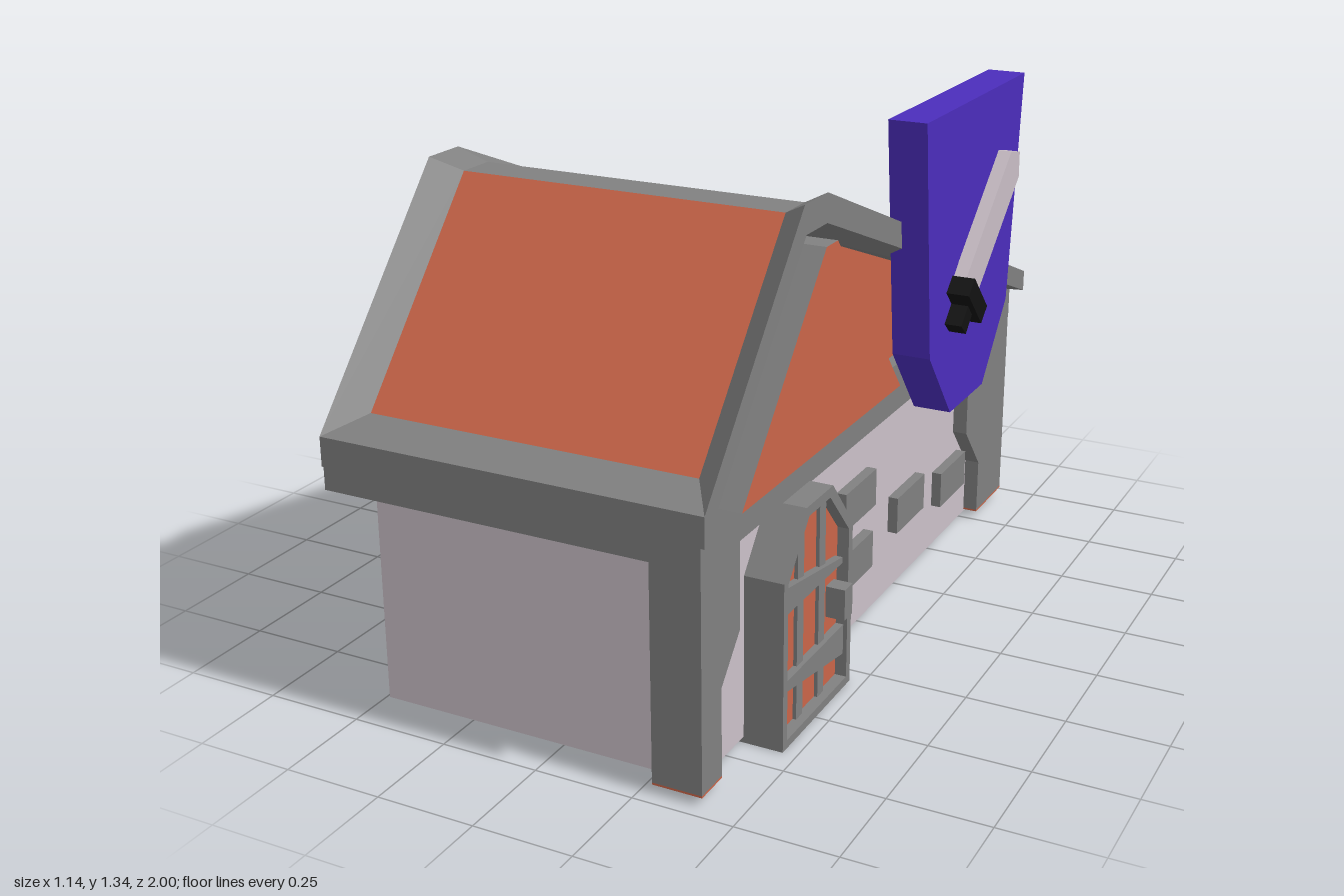
import * as THREE from 'three';

const mat = (color) => new THREE.MeshStandardMaterial({ color, flatShading: true, side: THREE.DoubleSide });
const STONE = mat(0x808080), TILE = mat(0xc96548), PLASTER = mat(0xcbc0c8);
const PURPLE = mat(0x4b2dbb), BLACK = mat(0x111111);

export function createModel() {
  const root = new THREE.Group();

  const add = (name, geometry, material, parent = root) => {
    const mesh = new THREE.Mesh(geometry, material);
    mesh.name = name;
    parent.add(mesh);
    return mesh;
  };
  const group = (name) => {
    const g = new THREE.Group();
    g.name = name;
    root.add(g);
    return g;
  };
  // Box given by its limits on each axis
  const box = (name, [x0, x1], [y0, y1], [z0, z1], material, parent) => {
    const g = new THREE.BoxGeometry(x1 - x0, y1 - y0, z1 - z0);
    g.translate((x0 + x1) / 2, (y0 + y1) / 2, (z0 + z1) / 2);
    return add(name, g, material, parent);
  };
  // Side-on outline of [z, y] points, extruded from x0 to x1
  const slab = (name, pts, x0, x1, material, parent, hole) => {
    const toVec = ([z, y]) => new THREE.Vector2(-z, y);
    const shape = new THREE.Shape(pts.map(toVec));
    if (hole) shape.holes.push(new THREE.Path(hole.map(toVec)));
    const g = new THREE.ExtrudeGeometry(shape, { depth: x1 - x0, bevelEnabled: false });
    g.rotateY(Math.PI / 2).translate(x0, 0, 0);
    return add(name, g, material, parent);
  };

  // Walls and the beam round their top
  box('walls', [-0.475, 0.365], [0.02, 0.6], [-0.82, 0.9], PLASTER);
  box('wallBeam', [-0.572, 0.405], [0.565, 0.692], [-0.965, 0.962], STONE);

  // Corner posts with brackets
  const posts = group('cornerPosts');
  slab('frontPost', [[0.962, 0.03], [0.962, 0.57], [0.78, 0.57], [0.78, 0.35], [0.868, 0.25], [0.868, 0.03]],
    0.28, 0.405, STONE, posts);
  slab('backPost', [[-0.962, 0.03], [-0.962, 0.57], [-0.645, 0.57], [-0.645, 0.31], [-0.76, 0.18], [-0.76, 0.03]],
    0.28, 0.405, STONE, posts);
  const bracket = new THREE.Shape([[0.3, 0.18], [0.3, 0.57], [0.08, 0.57], [0.08, 0.31], [0.28, 0.18]]
    .map(([x, y]) => new THREE.Vector2(x, y)));
  add('backBracket', new THREE.ExtrudeGeometry(bracket, { depth: 0.15, bevelEnabled: false })
    .translate(0, 0, -0.962), STONE, posts);
  box('frontPostFoot', [0.28, 0.405], [0.025, 0.03], [0.868, 0.962], TILE, posts);
  box('backPostFoot', [0.28, 0.405], [0.025, 0.03], [-0.962, -0.76], TILE, posts);

  // Roof: four [z, y] profiles from front eave over the ridge to back eave
  const outerX = [-0.545, 0.435], innerX = [-0.475, 0.37];
  const rimTop = [[1, 0.715], [0.53, 1.26], [0.41, 1.26], [-1, 0.7]];
  const rimBottom = [[1, 0.642], [0.52, 1.19], [0.41, 1.19], [-1, 0.642]];
  const panel = [[0.9, 0.75], [0.49, 1.225], [0.39, 1.225], [-0.83, 0.74]];
  const gable = [[0.905, 0.69], [0.5, 1.155], [0.41, 1.155], [-0.83, 0.69]];
  const at = (x, [z, y]) => [x, y, z];
  const trim = [], tiles = [];
  const quad = (list, a, b, c, d) => list.push(...a, ...b, ...c, ...a, ...c, ...d);
  const strip = (list, xa, pa, xb, pb, i, j) =>
    quad(list, at(xa, pa[i]), at(xb, pb[i]), at(xb, pb[j]), at(xa, pa[j]));
  for (let i = 0; i < 3; i++) {
    strip(i === 1 ? trim : tiles, innerX[0], panel, innerX[1], panel, i, i + 1);
    for (const s of [0, 1]) { // the two raised verges
      const side = [];
      strip(side, outerX[s], rimTop, innerX[s], panel, i, i + 1);
      strip(side, outerX[s], rimBottom, outerX[s], rimTop, i, i + 1);
      strip(side, innerX[s], gable, outerX[s], rimBottom, i, i + 1);
      // mirror the winding on the left side
      for (let k = 0; k < side.length; k += 9) {
        const t = side.slice(k, k + 9);
        trim.push(...(s ? t : [...t.slice(0, 3), ...t.slice(6), ...t.slice(3, 6)]));
      }
    }
  }
  for (const i of [0, 3]) { // front and back eaves
    const band = (xa, a, xb, b) => {
      const c = [at(xa[0], a[i]), at(xa[1], a[i]), at(xb[1], b[i]), at(xb[0], b[i])];
      quad(trim, ...(i ? c.reverse() : c));
    };
    band(outerX, rimTop, innerX, panel);
    band(outerX, rimBottom, outerX, rimTop);
    band(innerX, gable, outerX, rimBottom);
  }
  const surface = (list) => {
    const g = new THREE.BufferGeometry();
    g.setAttribute('position', new THREE.Float32BufferAttribute(list, 3));
    g.computeVertexNormals();
    return g;
  };
  const roof = group('roof');
  add('roofTrim', surface(trim), STONE, roof);
  add('roofTiles', surface(tiles), TILE, roof);
  slab('gables', gable, innerX[0], innerX[1], TILE, roof);
  // Projecting gable above the door: tiled face, stone sides
  slab('doorGable', [[0.9, 0.69], [0.49, 1.16], [0.43, 1.16], [0.035, 0.69]], 0.36, 0.47, [TILE, STONE], roof);

  // Arched door
  const door = group('door');
  const arch = [[0.68, 0.004], [0.68, 0.43], [0.565, 0.57], [0.42, 0.57], [0.3, 0.43], [0.3, 0.004]];
  const opening = [[0.658, 0.025], [0.658, 0.42], [0.55, 0.545], [0.435, 0.545], [0.322, 0.42], [0.322, 0.025]];
  slab('doorFrame', arch, 0.35, 0.465, STONE, door, opening);
  slab('doorPanel', opening, 0.36, 0.435, TILE, door);
  for (const z of [0.547, 0.428]) box('doorSlat', [0.43, 0.444], [0.025, 0.543], [z - 0.017, z + 0.017], STONE, door);
  slab('upperStrap', [[0.665, 0.405], [0.665, 0.335], [0.335, 0.335], [0.335, 0.35]], 0.43, 0.455, STONE, door);
  slab('lowerStrap', [[0.65, 0.165], [0.65, 0.14], [0.315, 0.085], [0.315, 0.165]], 0.43, 0.455, STONE, door);
  box('doorHandle', [0.43, 0.485], [0.21, 0.29], [0.34, 0.385], STONE, door);

  // Stones set in the side wall
  const stones = group('wallStones');
  for (const [z, y] of [[0.077, 0.385], [0.09, 0.217], [-0.265, 0.242], [-0.585, 0.192]])
    box('wallStone', [0.35, 0.392], [y - 0.05, y + 0.05], [z - 0.095, z + 0.095], STONE, stones);

  // Shield-shaped hanging sign
  slab('signBoard', [[0, 1.34], [-0.7, 1.34], [-0.635, 0.73], [-0.47, 0.535], [-0.23, 0.535], [-0.07, 0.73]],
    0.405, 0.505, PURPLE);

  // Sword on the sign
  const sword = group('sword');
  const blade = slab('blade', [[-0.215, 0.9], [-0.295, 0.82], [-0.57, 1.09], [-0.56, 1.16], [-0.49, 1.175]],
    0.5, 0.535, PLASTER, sword).geometry;
  const p = blade.attributes.position; // lean the blade slightly outwards
  for (let i = 0; i < p.count; i++) p.setX(i, p.getX(i) + (p.getY(i) - 0.82) * 0.042);
  blade.computeVertexNormals();
  slab('swordGuard', [[-0.21, 0.91], [-0.17, 0.875], [-0.27, 0.775], [-0.31, 0.81]], 0.495, 0.565, BLACK, sword);
  slab('swordGrip', [[-0.235, 0.86], [-0.165, 0.795], [-0.2, 0.765], [-0.265, 0.83]], 0.5, 0.55, BLACK, sword);

  return root;
}
